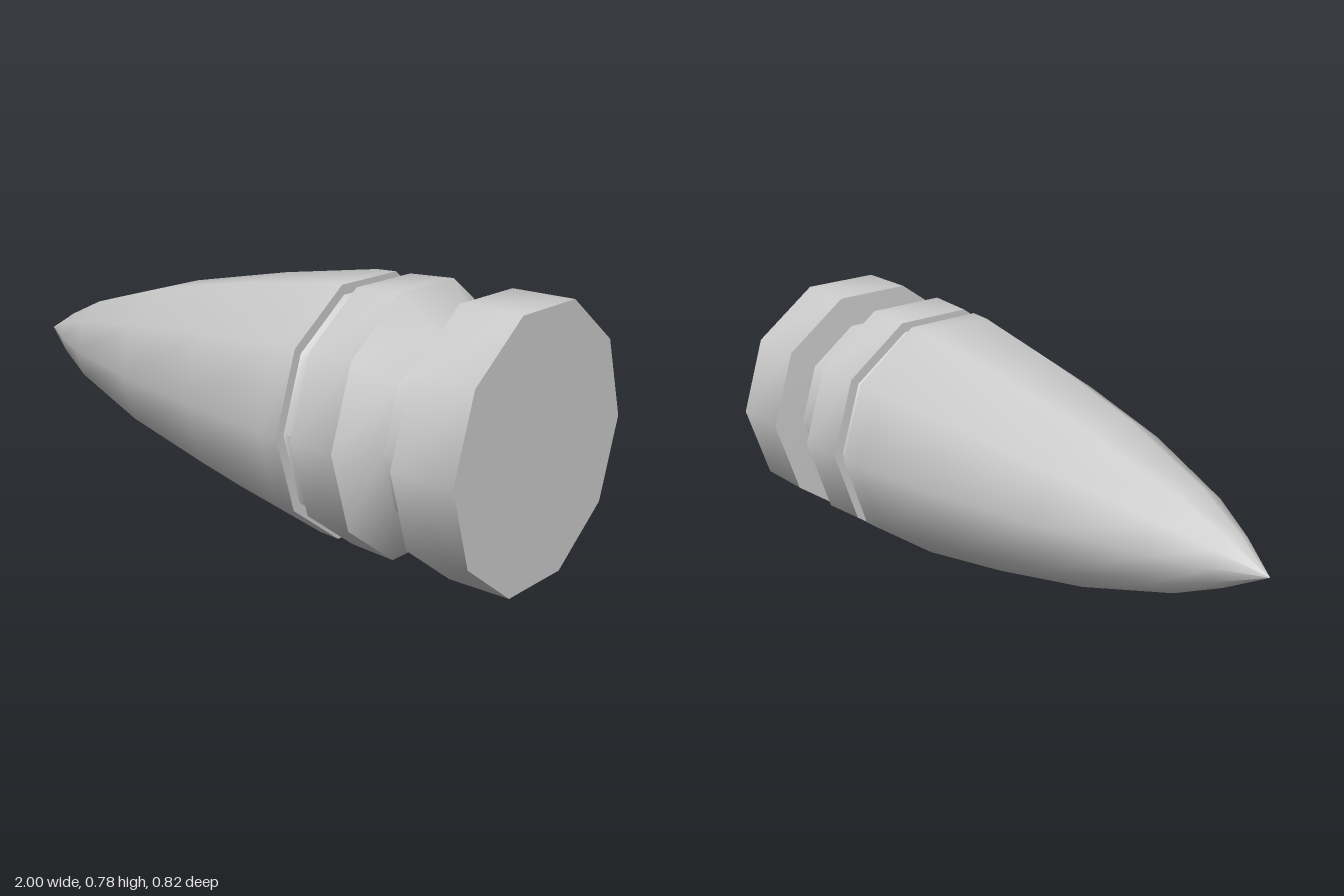
import * as THREE from 'three';
import { toCreasedNormals } from 'three/addons/utils/BufferGeometryUtils.js';

const SIDES = 10;
const AXIS_HEIGHT = 0.39;

// Turned ten-sided part; profile is [x, radius] pairs running from the base (+x) towards the tip (-x)
function turned(name, profile) {
  const points = profile.map(([x, r]) => new THREE.Vector2(r, -x));
  const geometry = toCreasedNormals(new THREE.LatheGeometry(points, SIDES), 0.7);
  geometry.rotateZ(Math.PI / 2);
  geometry.translate(0, AXIS_HEIGHT, 0);
  const mesh = new THREE.Mesh(geometry, new THREE.MeshStandardMaterial({ color: 0xcccccc }));
  mesh.name = name;
  return mesh;
}

export function createModel() {
  const group = new THREE.Group();
  group.name = 'projectile';
  group.add(
    // flat disc at the rear
    turned('baseRim', [[1, 0], [1, 0.41], [0.805, 0.41], [0.8, 0.305]]),
    // narrow waist and the chamfer widening to the body
    turned('neck', [[0.8, 0.305], [0.705, 0.305], [0.61, 0.41]]),
    // slightly tapered band
    turned('bodyBand', [[0.61, 0.41], [0.46, 0.402]]),
    // shallow rounded groove
    turned('groove', [[0.46, 0.402], [0.46, 0.37], [0.445, 0.361], [0.425, 0.361], [0.408, 0.37], [0.408, 0.401]]),
    // curved nose running to a point
    turned('nose', [[0.408, 0.401], [0.34, 0.398], [0, 0.34], [-0.36, 0.262], [-0.7, 0.155], [-0.86, 0.08], [-1, 0]])
  );
  return group;
}
